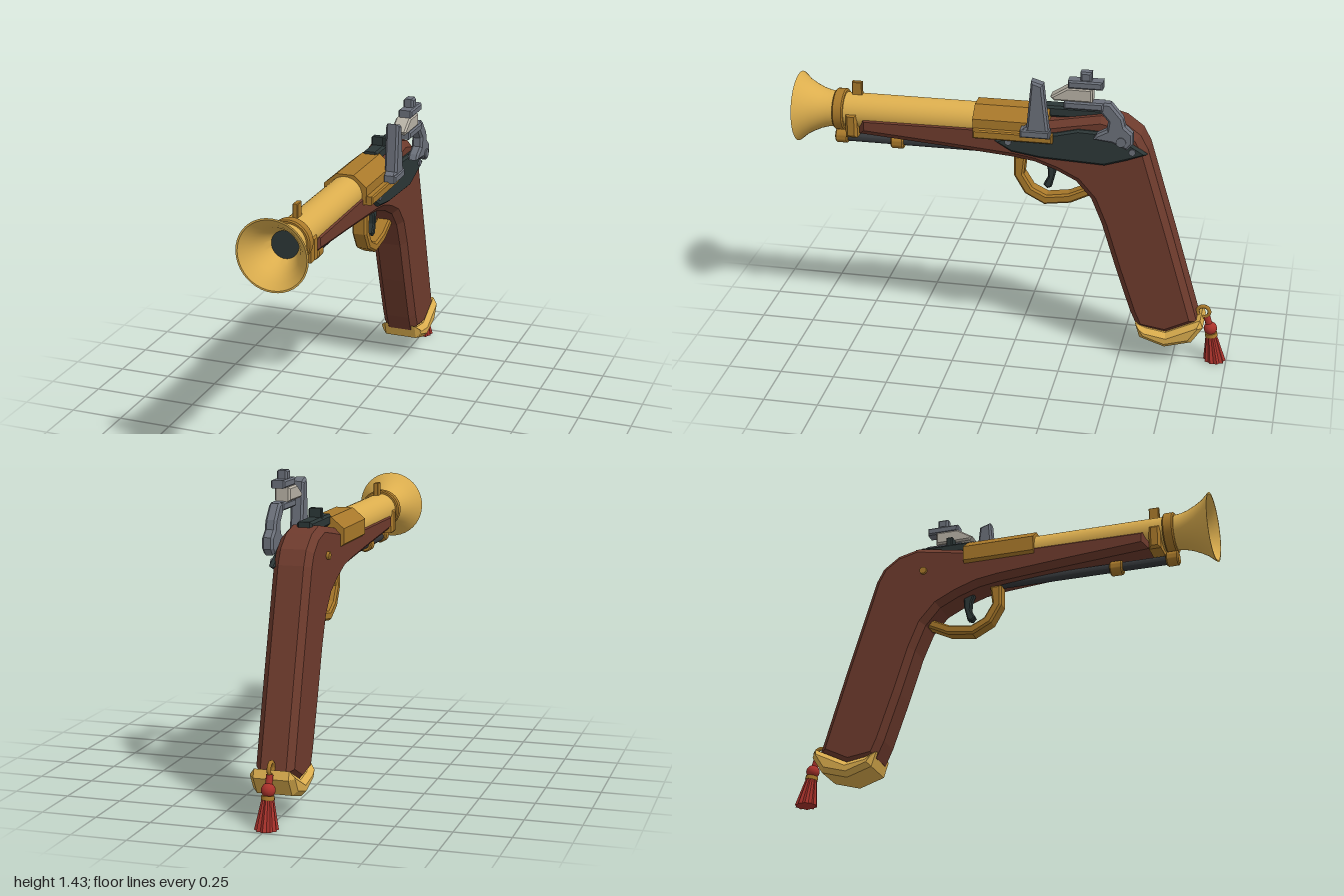
import * as THREE from 'three';
import { toCreasedNormals } from 'three/addons/utils/BufferGeometryUtils.js';

const mat = (name, color) => {
  const m = new THREE.MeshStandardMaterial({ color });
  m.name = name;
  return m;
};

export function createModel() {
  const group = new THREE.Group();
  const wood = mat('wood', 0x6e3b2d);
  const brass = mat('brass', 0xdcae4e);
  const bronze = mat('bronze', 0xa9792a);
  const steel = mat('steel', 0x6b707a);
  const iron = mat('dark iron', 0x2c3737);
  const rodBlack = mat('rod black', 0x35383b);
  const flintGrey = mat('flint', 0xb8b2a6);
  const red = mat('red cord', 0xa9322b);

  const add = (name, geo, material, x = 0, y = 0, z = 0) => {
    const mesh = new THREE.Mesh(geo, material);
    mesh.name = name;
    mesh.position.set(x, y, z);
    group.add(mesh);
    return mesh;
  };
  // Side profile given as [z, y] points, chamfered, spanning x0..x1
  const plate = (name, pts, x0, x1, bevel, material) => {
    const shape = new THREE.Shape(pts.map(p => new THREE.Vector2(p[0], p[1])));
    const geo = new THREE.ExtrudeGeometry(shape, {
      depth: x1 - x0 - 2 * bevel, bevelEnabled: bevel > 0, bevelThickness: bevel,
      bevelSize: bevel, bevelOffset: -bevel, bevelSegments: 1,
    });
    geo.translate(0, 0, bevel - (x1 - x0));
    geo.rotateY(-Math.PI / 2);
    return add(name, geo, material, x0, 0, 0);
  };
  // Chamfered box by its z and y limits
  const block = (name, z0, z1, y0, y1, x0, x1, bevel, material) =>
    plate(name, [[z0, y0], [z1, y0], [z1, y1], [z0, y1]], x0, x1, bevel, material);
  // Lathe around the z axis from [radius, z] points
  const turned = (name, pts, y, material, sides = 32) => {
    const geo = new THREE.LatheGeometry(pts.map(p => new THREE.Vector2(p[0], p[1])), sides);
    geo.rotateX(Math.PI / 2);
    return add(name, toCreasedNormals(geo, 0.6), material, 0, y, 0);
  };
  const ring = (name, r, z0, z1, y, material) => turned(name,
    [[0, z0], [r - 0.006, z0], [r, z0 + 0.006], [r, z1 - 0.006], [r - 0.006, z1], [0, z1]], y, material);

  // Stock and grip
  plate('stock', [
    [0.71, 1.125], [0.71, 1.03], [0.3, 1.0], [0, 0.975], [-0.1, 0.96], [-0.2, 0.925], [-0.29, 0.88],
    [-0.36, 0.8], [-0.41, 0.68], [-0.476, 0.47], [-0.55, 0.25], [-0.585, 0.17], [-0.72, 0.15], [-0.86, 0.22],
    [-0.74, 0.63], [-0.61, 1.06], [-0.575, 1.125], [-0.5, 1.18], [-0.4, 1.205], [-0.26, 1.18], [0, 1.13],
  ], -0.085, 0.085, 0.028, wood);
  plate('buttCap', [
    [-0.578, 0.195], [-0.6, 0.125], [-0.716, 0.086], [-0.84, 0.122], [-0.89, 0.2],
    [-0.877, 0.238], [-0.845, 0.222], [-0.72, 0.16], [-0.63, 0.175],
  ], -0.1, 0.1, 0.022, brass);

  // Barrel with flared muzzle
  turned('barrel', [
    [0, -0.1], [0.08, -0.1], [0.08, 0.82], [0.084, 0.86], [0.094, 0.895], [0.11, 0.93], [0.13, 0.965],
    [0.152, 0.99], [0.16, 1.0], [0.152, 1.0], [0.125, 0.975], [0.1, 0.94], [0.08, 0.9], [0.06, 0.86],
  ], 1.12, brass, 40);
  add('bore', new THREE.CircleGeometry(0.062, 32), iron, 0, 1.12, 0.862);
  ring('muzzleRing', 0.095, 0.78, 0.83, 1.12, bronze);
  block('foreEndBand', 0.715, 0.77, 1.015, 1.13, -0.088, 0.088, 0.012, bronze);
  block('frontSight', 0.705, 0.752, 1.18, 1.26, -0.012, 0.012, 0.003, bronze);

  // Octagonal breech and pan
  const oct = new THREE.Shape([[0.04, 1.21], [-0.04, 1.21], [-0.1, 1.16], [-0.1, 1.09], [-0.06, 1.06],
    [0.06, 1.06], [0.1, 1.09], [0.1, 1.16]].map(p => new THREE.Vector2(p[0], p[1])));
  add('breech', new THREE.ExtrudeGeometry(oct, { depth: 0.34, bevelEnabled: false }), bronze, 0, 0, -0.165);
  block('pan', -0.19, 0.17, 1.078, 1.118, 0.07, 0.128, 0.006, bronze);

  // Lock plate with screws
  plate('lockPlate', [
    [0.075, 1.06], [0.0, 1.1], [-0.2, 1.12], [-0.3, 1.145], [-0.46, 1.14], [-0.53, 1.1], [-0.61, 1.05],
    [-0.52, 1.015], [-0.42, 0.983], [-0.13, 0.995], [0, 1.015],
  ], 0.07, 0.103, 0.01, iron);
  const screw = (name, x, y, z, r, material) => {
    const geo = new THREE.CylinderGeometry(r, r, 0.02, 14);
    geo.rotateZ(Math.PI / 2);
    add(name, geo, material, x, y, z);
  };
  screw('frontLockScrew', 0.1, 1.065, 0.012, 0.015, steel);
  screw('rearLockScrew', 0.1, 1.06, -0.545, 0.015, steel);
  screw('leftSideScrew', -0.088, 1.07, -0.365, 0.017, bronze);

  // Tang and rear sight
  block('tang', -0.43, -0.14, 1.17, 1.222, -0.035, 0.035, 0.01, iron);
  block('rearSight', -0.275, -0.245, 1.21, 1.262, -0.03, 0.03, 0.005, iron);

  // Frizzen
  plate('frizzen', [
    [-0.055, 1.115], [-0.055, 1.145], [-0.078, 1.16], [-0.098, 1.378], [-0.15, 1.362],
    [-0.158, 1.29], [-0.175, 1.15], [-0.18, 1.115],
  ], 0.092, 0.152, 0.01, steel);
  block('frizzenFoot', -0.182, -0.05, 1.112, 1.148, 0.098, 0.157, 0.006, steel);

  // Cock, jaws and flint
  plate('cock', [
    [-0.37, 1.3], [-0.45, 1.3], [-0.505, 1.235], [-0.515, 1.195], [-0.55, 1.165], [-0.552, 1.115],
    [-0.525, 1.085], [-0.46, 1.115], [-0.375, 1.125], [-0.39, 1.15], [-0.435, 1.175], [-0.44, 1.215], [-0.4, 1.262],
  ], 0.1, 0.152, 0.01, steel);
  screw('cockPivot', 0.148, 1.125, -0.5, 0.022, steel);
  block('lowerJaw', -0.42, -0.245, 1.264, 1.3, 0.095, 0.158, 0.007, steel);
  plate('flint', [[-0.185, 1.315], [-0.26, 1.362], [-0.37, 1.362], [-0.37, 1.298], [-0.2, 1.298]],
    0.084, 0.155, 0.008, flintGrey);
  block('upperJaw', -0.415, -0.262, 1.36, 1.396, 0.092, 0.157, 0.007, steel);
  block('jawScrew', -0.365, -0.315, 1.39, 1.435, 0.098, 0.146, 0.008, steel);

  // Trigger and guard
  plate('triggerGuard', [
    [0, 0.968], [0, 0.87], [-0.05, 0.785], [-0.14, 0.738], [-0.26, 0.755], [-0.37, 0.81], [-0.36, 0.85],
    [-0.25, 0.798], [-0.15, 0.783], [-0.085, 0.815], [-0.045, 0.88], [-0.055, 0.968],
  ], -0.035, 0.035, 0.009, bronze);
  plate('trigger', [
    [-0.13, 0.97], [-0.19, 0.95], [-0.188, 0.89], [-0.17, 0.82], [-0.15, 0.812], [-0.133, 0.83],
    [-0.155, 0.87], [-0.152, 0.91],
  ], -0.018, 0.018, 0.006, iron);

  // Ramrod and its ferrules
  turned('ramrod', [[0, -0.02], [0.021, -0.02], [0.021, 0.8], [0, 0.8]], 0.986, rodBlack, 16);
  ring('frontFerrule', 0.034, 0.778, 0.836, 0.99, bronze);
  ring('middleFerrule', 0.034, 0.515, 0.575, 0.982, bronze);

  // Tassel on its ring
  const loop = new THREE.TorusGeometry(0.028, 0.009, 10, 24);
  loop.rotateY(Math.PI / 2);
  add('tasselRing', loop, bronze, 0, 0.245, -0.884);
  const cord = new THREE.CatmullRomCurve3([[0, 0.225, -0.9], [0, 0.2, -0.908], [0, 0.165, -0.92]]
    .map(p => new THREE.Vector3(...p)));
  add('tasselCord', new THREE.TubeGeometry(cord, 6, 0.016, 8), red);
  add('tasselKnot', new THREE.SphereGeometry(0.031, 16, 12), red, 0, 0.163, -0.92);
  const band = add('tasselBand', new THREE.CylinderGeometry(0.028, 0.029, 0.018, 16), bronze, 0, 0.132, -0.925);
  band.rotation.x = 0.15;
  // Fluted skirt: alternate corners pulled inward, leaning backward as it falls
  const skirt = new THREE.CylinderGeometry(0.026, 0.052, 0.128, 20, 1).toNonIndexed();
  const p = skirt.attributes.position;
  for (let i = 0; i < p.count; i++) {
    const x = p.getX(i), y = p.getY(i), z = p.getZ(i);
    const step = Math.round(Math.atan2(x, z) / (Math.PI / 10));
    const k = step % 2 ? 0.84 : 1;
    p.setXYZ(i, x * k, y, z * k - 0.936 + y * 0.16);
  }
  skirt.computeVertexNormals();
  add('tasselSkirt', skirt, red, 0, 0.064, 0);

  return group;
}
